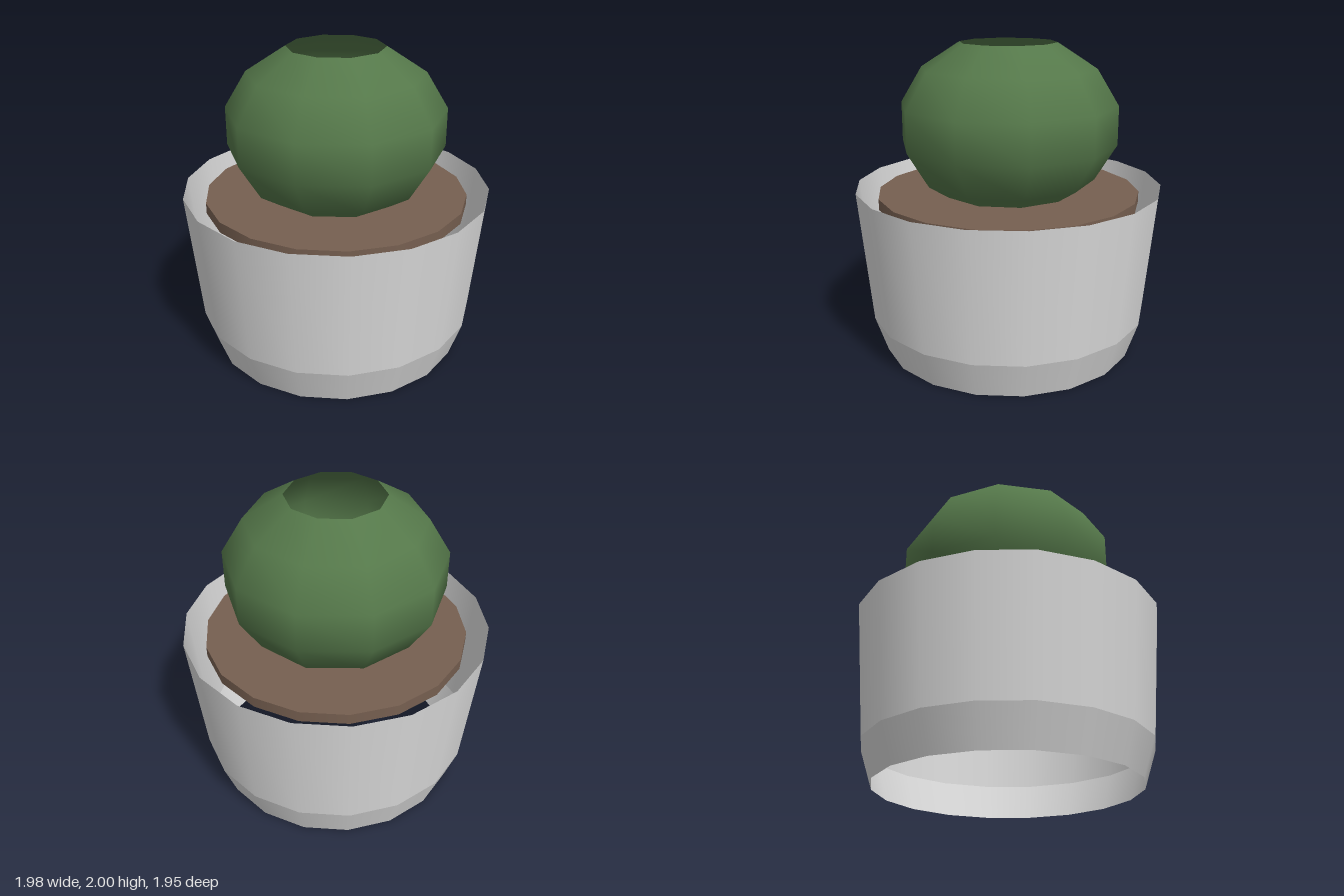
import * as THREE from 'three';

// Open surface of revolution with a corner on the +x axis
function turned(name, profile, sides, material) {
  const points = profile.map(([r, y]) => new THREE.Vector2(r, y));
  const mesh = new THREE.Mesh(new THREE.LatheGeometry(points, sides, Math.PI / 2), material);
  mesh.name = name;
  return mesh;
}

function makeMaterial(name, color) {
  const material = new THREE.MeshStandardMaterial({ color, side: THREE.DoubleSide });
  material.name = name;
  return material;
}

export function createModel() {
  const model = new THREE.Group();
  model.name = 'pottedCactus';

  const clay = makeMaterial('pale grey', 0xdadada);
  const earth = makeMaterial('soil brown', 0x765f50);
  const plant = makeMaterial('cactus green', 0x55784a);

  // Thin pot wall, open at top and bottom, with a sharp crease above the foot
  const pot = new THREE.Group();
  pot.name = 'pot';
  pot.add(
    turned('potFoot', [[0.83, 0], [0.91, 0.24]], 18, clay),
    turned('potWall', [[0.91, 0.24], [0.99, 1.09]], 18, clay)
  );

  // Soil slab, standing clear of the wall
  const soil = new THREE.Mesh(new THREE.CylinderGeometry(0.85, 0.85, 0.07, 18), earth);
  soil.name = 'soil';
  soil.rotation.y = Math.PI / 2;
  soil.position.y = 1.01;

  // Round cactus body, open at the crown
  const cactus = turned('cactus', [
    [0.31, 0.97], [0.56, 1.13], [0.7, 1.36], [0.7, 1.61], [0.56, 1.84], [0.31, 2]
  ], 10, plant);

  model.add(pot, soil, cactus);
  return model;
}
